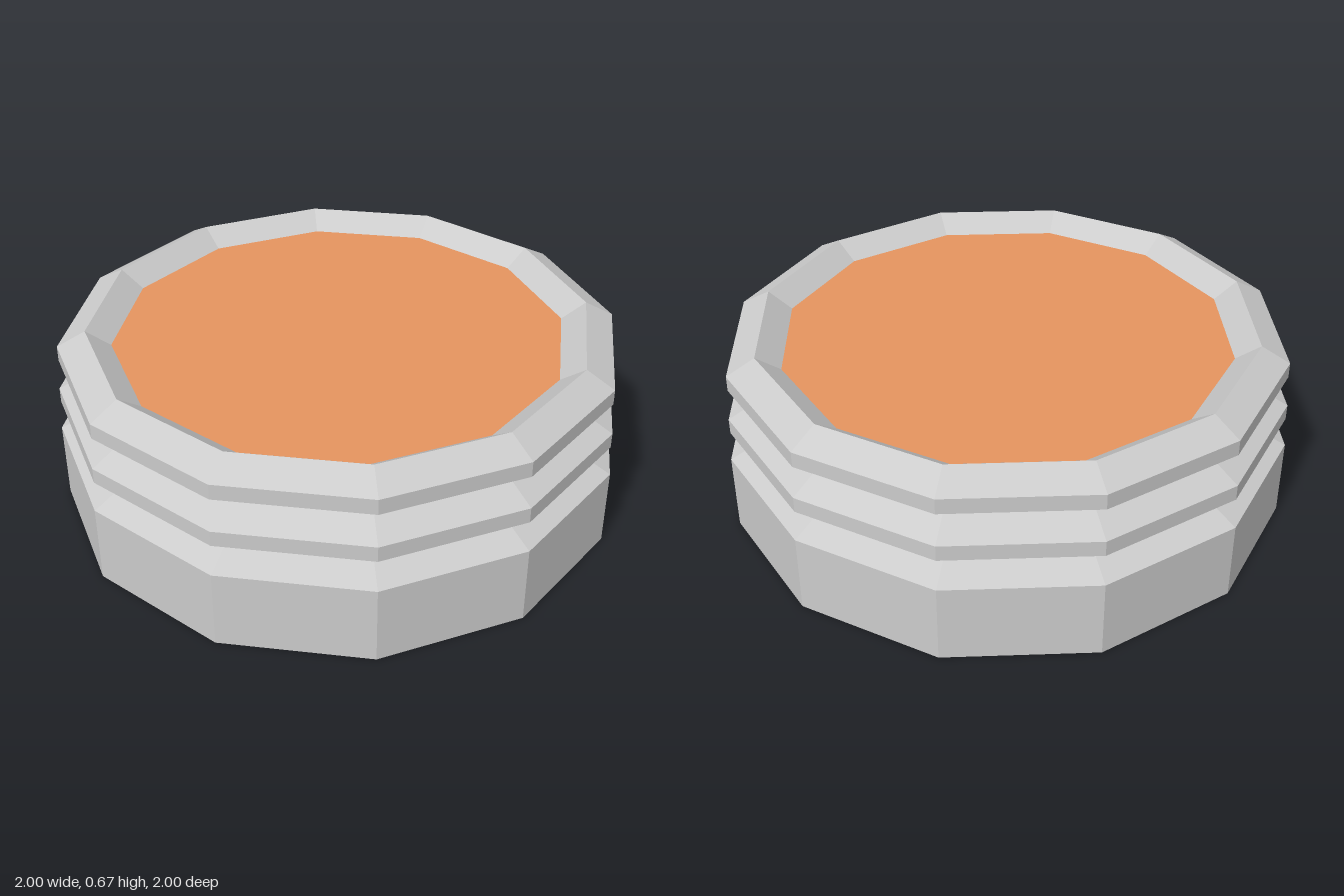
import * as THREE from 'three';

const SIDES = 12;

export function createModel() {
  const model = new THREE.Group();
  model.name = 'ribbedCap';
  const grey = new THREE.MeshStandardMaterial({ color: 0xcccccc, flatShading: true });
  const orange = new THREE.MeshStandardMaterial({ color: 0xe6945f, flatShading: true });

  function add(name, geometry, material, y = 0) {
    const mesh = new THREE.Mesh(geometry, material);
    mesh.name = name;
    mesh.position.y = y;
    model.add(mesh);
  }

  // Faceted wall: straight base, two ribs, then the rim sloping down into the dish
  const profile = [
    [1, 0], [1, 0.28], [0.89, 0.335],
    [0.99, 0.39], [0.99, 0.445], [0.89, 0.5],
    [0.98, 0.56], [0.98, 0.615], [0.88, 0.67],
    [0.795, 0.61],
  ].map(([r, y]) => new THREE.Vector2(r, y));
  add('ribbedBody', new THREE.LatheGeometry(profile, SIDES), grey);

  // Flat underside
  add('underside', new THREE.CircleGeometry(1, SIDES).rotateX(Math.PI / 2), grey);

  // Coloured floor of the shallow dish
  add('topPanel', new THREE.CircleGeometry(0.795, SIDES).rotateX(-Math.PI / 2), orange, 0.61);

  return model;
}
